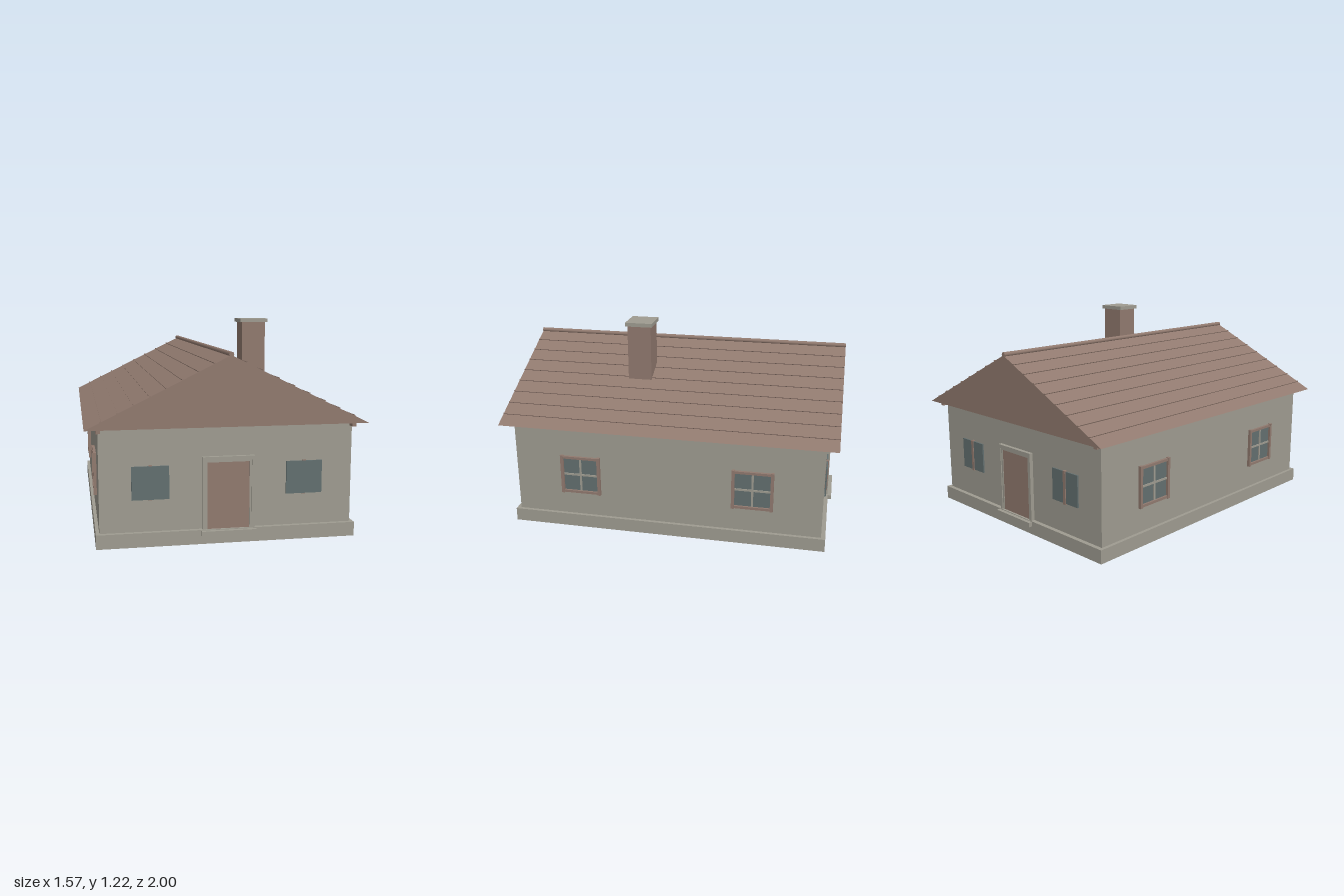
import * as THREE from 'three';

const paint = (name, color) => {
  const m = new THREE.MeshStandardMaterial({ color });
  m.name = name;
  return m;
};

export function createModel() {
  const stone = paint('greyPlaster', 0x9f9c91);
  const brown = paint('brownTile', 0x917a6f);
  const glass = paint('windowGlass', 0x637070);

  const house = new THREE.Group();
  house.name = 'house';

  const add = (parent, name, geometry, material) => {
    const mesh = new THREE.Mesh(geometry, material);
    mesh.name = name;
    parent.add(mesh);
    return mesh;
  };
  // Box given by its limits on each axis
  const box = (parent, name, material, x0, x1, y0, y1, z0, z1) => {
    const mesh = add(parent, name, new THREE.BoxGeometry(x1 - x0, y1 - y0, z1 - z0), material);
    mesh.position.set((x0 + x1) / 2, (y0 + y1) / 2, (z0 + z1) / 2);
    return mesh;
  };
  const group = (name) => {
    const g = new THREE.Group();
    g.name = name;
    house.add(g);
    return g;
  };

  // Walls and plinth
  box(house, 'walls', stone, -0.71, 0.71, 0.04, 0.66, -0.93, 0.93);
  box(house, 'plinth', stone, -0.73, 0.73, 0, 0.08, -0.955, 0.955);

  // Solid gable roof
  const eaveX = 0.783, eaveY = 0.658, ridgeY = 1.043;
  const gable = new THREE.Shape([
    new THREE.Vector2(-eaveX, eaveY),
    new THREE.Vector2(eaveX, eaveY),
    new THREE.Vector2(0, ridgeY),
  ]);
  const roofGeo = new THREE.ExtrudeGeometry(gable, { depth: 2, bevelEnabled: false });
  roofGeo.translate(0, 0, -1);
  add(house, 'roof', roofGeo, brown);

  // Ridge roll
  const ridge = add(house, 'ridge', new THREE.CylinderGeometry(0.014, 0.014, 2, 12), brown);
  ridge.rotation.x = Math.PI / 2;
  ridge.position.y = 1.047;

  // Tile battens and eave boards on both slopes
  const slope = (ridgeY - eaveY) / eaveX;
  for (const side of [-1, 1]) {
    for (let i = 1; i <= 8; i++) {
      const x = 0.087 * i;
      const batten = add(house, 'roofBatten', new THREE.BoxGeometry(0.008, 0.01, 2), brown);
      batten.position.set(side * x, ridgeY - slope * x, 0);
      batten.rotation.z = -side * Math.atan(slope);
    }
    const mid = side * 0.709;
    box(house, 'eaveBoard', brown, mid - 0.0125, mid + 0.0125, 0.635, 0.66, -0.97, 0.97);
  }

  // Chimney
  box(house, 'chimney', brown, 0.22, 0.366, 0.85, 1.2, 0.16, 0.305);
  box(house, 'chimneyCap', stone, 0.205, 0.38, 1.197, 1.22, 0.15, 0.315);

  // Door, frame, step and flat windows on each gable wall, built facing +z
  for (const [name, turn] of [['front', 0], ['back', Math.PI]]) {
    const wall = group(name + 'Openings');
    wall.rotation.y = turn;
    box(wall, 'door', brown, -0.118, 0.118, 0.075, 0.455, 0.925, 0.942);
    for (const s of [-1, 1]) {
      const jamb = box(wall, 'doorJamb', stone, 0.13, 0.147, 0.075, 0.487, 0.925, 0.952);
      jamb.position.x *= s;
      const lining = box(wall, 'doorLining', stone, 0.118, 0.13, 0.075, 0.465, 0.925, 0.946);
      lining.position.x *= s;

      // The bar stands in front of the glass only at the back
      const c = s * 0.432;
      const barDepth = turn ? 0.946 : 0.938;
      box(wall, 'windowGlass', glass, c - 0.103, c + 0.103, 0.26, 0.445, 0.932, 0.941);
      box(wall, 'windowBar', brown, c - 0.009, c + 0.009, 0.255, 0.45, 0.925, barDepth);
    }
    box(wall, 'doorHead', stone, -0.13, 0.13, 0.465, 0.487, 0.925, 0.952);
    box(wall, 'doorHeadLining', stone, -0.118, 0.118, 0.455, 0.465, 0.925, 0.946);
    box(wall, 'doorStep', stone, -0.154, 0.154, 0.05, 0.076, 0.93, 0.977);
  }

  // Four-pane windows in the side walls
  for (const side of [-1, 1]) {
    for (const z of [-0.522, 0.522]) {
      const win = group('sideWindow');
      win.position.set(side * 0.71, 0.346, z);
      win.rotation.y = side * Math.PI / 2;
      box(win, 'glass', glass, -0.108, 0.108, -0.108, 0.108, -0.004, 0.004);
      for (const s of [-1, 1]) {
        const stile = box(win, 'stile', brown, 0.105, 0.123, -0.123, 0.123, -0.005, 0.018);
        stile.position.x *= s;
        const rail = box(win, 'rail', brown, -0.105, 0.105, 0.104, 0.119, -0.005, 0.016);
        rail.position.y *= s;
      }
      box(win, 'upright', stone, -0.006, 0.006, -0.105, 0.105, -0.005, 0.01);
      box(win, 'crossbar', stone, -0.105, 0.105, -0.006, 0.006, -0.005, 0.009);
    }
  }
  return house;
}
